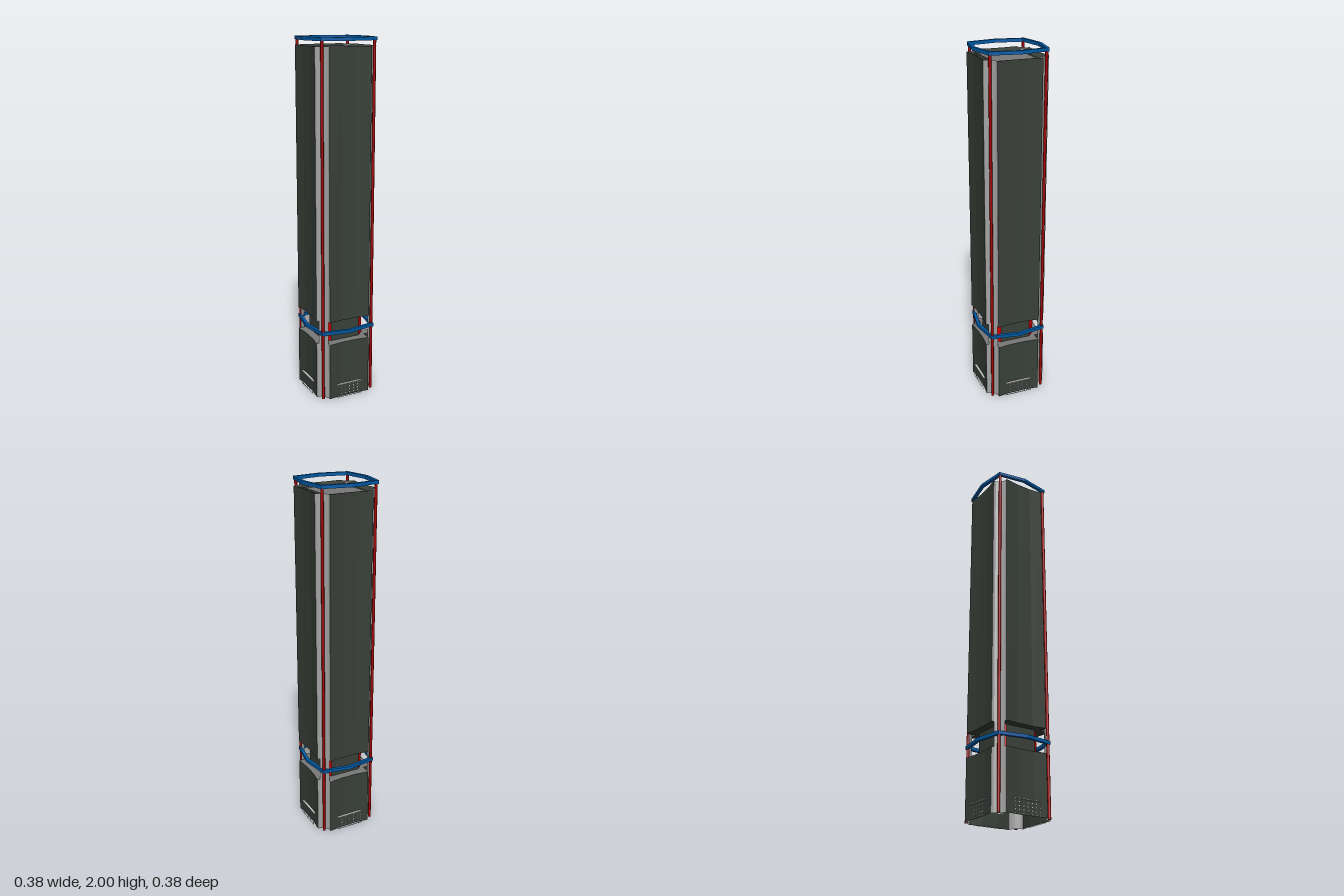
import * as THREE from 'three';

const mat = (name, color, side = THREE.FrontSide) => {
  const m = new THREE.MeshStandardMaterial({ color, side });
  m.name = name;
  return m;
};

// Flat-faceted strip joining two plan polylines ([x, z]) at two heights
function loft(lower, y0, upper, y1) {
  const pos = [];
  for (let i = 0; i < lower.length - 1; i++) {
    const a = [lower[i][0], y0, lower[i][1]];
    const b = [lower[i + 1][0], y0, lower[i + 1][1]];
    const c = [upper[i + 1][0], y1, upper[i + 1][1]];
    const d = [upper[i][0], y1, upper[i][1]];
    pos.push(...a, ...b, ...c, ...a, ...c, ...d);
  }
  const g = new THREE.BufferGeometry();
  g.setAttribute('position', new THREE.Float32BufferAttribute(pos, 3));
  g.computeVertexNormals();
  return g;
}

// Horizontal face inside a plan outline
function flat(points) {
  const shape = new THREE.Shape(points.map(([x, z]) => new THREE.Vector2(x, -z)));
  return new THREE.ShapeGeometry(shape).rotateX(-Math.PI / 2);
}

// Closed plan with a straight and a corner point per quarter turn
function octagonPath(corner, mid) {
  return [[mid, 0], [corner, corner], [0, mid], [-corner, corner],
    [-mid, 0], [-corner, -corner], [0, -mid], [corner, -corner]]
    .map(([x, y]) => new THREE.Vector2(x, y));
}

const rect = (x0, y0, x1, y1) =>
  [[x0, y0], [x1, y0], [x1, y1], [x0, y1]].map(([x, y]) => new THREE.Vector2(x, y));

// Flat grid of bars with rectangular openings
function lattice(w, h, cols, rows, bar) {
  const shape = new THREE.Shape(rect(-w / 2, 0, w / 2, h));
  const dx = (w - bar) / cols, dy = (h - bar) / rows;
  for (let i = 0; i < cols; i++) {
    for (let j = 0; j < rows; j++) {
      const x = -w / 2 + i * dx, y = j * dy;
      shape.holes.push(new THREE.Path(rect(x + bar, y + bar, x + dx, y + dy)));
    }
  }
  return new THREE.ShapeGeometry(shape);
}

export function createModel() {
  const model = new THREE.Group();
  model.name = 'tower';

  const glass = mat('dark glass', 0x394039, THREE.DoubleSide);
  const grey = mat('concrete grey', 0x787878, THREE.DoubleSide);
  const pale = mat('pale corner grey', 0xa6a6a6, THREE.DoubleSide);
  const light = mat('light frame', 0xc8cac8, THREE.DoubleSide);
  const red = mat('bright red', 0xdc0000, THREE.DoubleSide);
  const darkRed = mat('dark red', 0xa00404);
  const blue = mat('blue', 0x005ca8);

  const add = (parent, name, geometry, material, x = 0, y = 0, z = 0) => {
    const m = new THREE.Mesh(geometry, material);
    m.name = name;
    m.position.set(x, y, z);
    parent.add(m);
  };

  // Plan of one side: shallow concave facade, then the notched corner
  const E = 0.123, F = 0.178, GAP0 = 0.332, GAP1 = 0.465, TOP = 1.955, ROOF = 1.94;
  const facade = [[-E, F], [-0.045, 0.169], [0.045, 0.169], [E, F]];
  const cove = [[E, 0.163], [0.131, 0.149], [0.139, 0.139], [0.149, 0.131], [0.163, E]];
  const notch = [[E, F], ...cove, [F, E]];
  const inner = facade.map(([x]) => [x, E]);
  const corner = [[E, E], ...cove];

  for (let k = 0; k < 4; k++) {
    const side = new THREE.Group();
    side.name = 'side' + (k + 1);
    side.rotation.y = k * Math.PI / 2;
    model.add(side);

    // Podium and shaft walls
    for (const [label, y0, y1] of [['podium', 0, GAP0], ['shaft', GAP1, TOP]]) {
      add(side, label + 'Facade', loft(facade, y0, facade, y1), glass);
      add(side, label + 'Corner', loft(notch, y0, notch, y1), pale);
    }

    // Podium ledge, shaft underside and sloping parapet
    add(side, 'podiumLedge', loft(facade, GAP0, inner, GAP0), grey);
    add(side, 'shaftUnderside', loft(facade, GAP1, inner, GAP1), glass);
    add(side, 'parapet', loft(facade, TOP, inner, ROOF), glass);
    add(side, 'cornerCap', flat(corner), pale, 0, TOP - 0.005, 0);
    add(side, 'roofRim', new THREE.BoxGeometry(0.248, 0.01, 0.005), grey, 0, ROOF, 0.121);

    // Recessed storey: slanted red panels behind the continuous corner cove
    const c = 0.088, d = 0.123;
    const wall = [[-c, d], [c, d]], slant = [[c, d], [d, c]];
    add(side, 'recessWall', loft(wall, GAP0, wall, GAP1), glass);
    add(side, 'recessPanel', loft(slant, GAP0, slant, GAP1), red);
    add(side, 'recessCorner', loft(cove, GAP0, cove, GAP1), pale);

    // Red corner column
    add(side, 'cornerColumn', new THREE.CylinderGeometry(0.008, 0.008, 1.99, 12), darkRed,
      0.152, 0.995, 0.152);

    // Entrance lattice with a slim canopy
    add(side, 'entranceLattice', lattice(0.158, 0.08, 6, 4, 0.005), light, 0, 0, 0.183);
    add(side, 'entranceCanopy', new THREE.BoxGeometry(0.158, 0.004, 0.013), light,
      0, 0.078, 0.1763);
  }

  // Slabs closing the podium, the shaft underside and the roof
  const square = [[-E, E], [E, E], [E, -E], [-E, -E]];
  add(model, 'podiumTop', flat(square), grey, 0, GAP0, 0);
  add(model, 'shaftFloor', flat(square), glass, 0, GAP1, 0);
  add(model, 'roof', flat(square), grey, 0, ROOF, 0);

  // Blue rings
  const ringShape = new THREE.Shape(octagonPath(0.162, 0.19));
  ringShape.holes.push(new THREE.Path(octagonPath(0.147, 0.172)));
  const ring = new THREE.ExtrudeGeometry(ringShape, { depth: 0.018, bevelEnabled: false });
  ring.rotateX(-Math.PI / 2);
  add(model, 'lowerRing', ring, blue, 0, 0.389, 0);
  add(model, 'upperRing', ring, blue, 0, 1.982, 0);

  return model;
}
